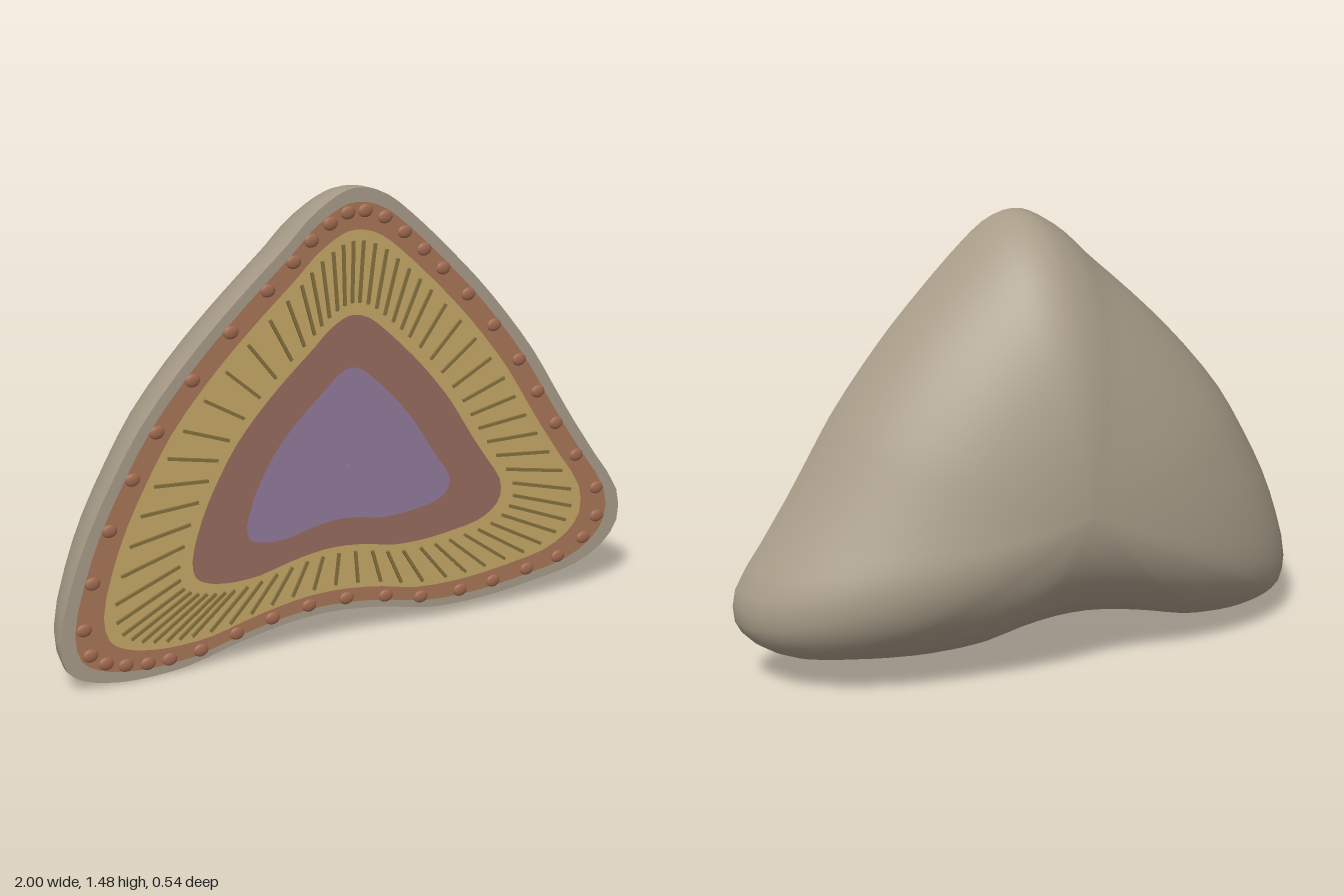
import * as THREE from 'three';

const CX = -0.019, CY = 0.587;      // centre of the slice
const FRONT = 0.26, DEPTH = 0.53;   // front plane and dome depth
const SEGMENTS = 84, BEADS = 42, GROOVES = 64;

const paint = (name, color) => {
  const m = new THREE.MeshStandardMaterial({ color });
  m.name = name;
  return m;
};

// Rounded triangular outline, clockwise from the top, relative to the centre
const OUTLINE = [
  0.06, 0.89, 0.135, 0.86, 0.21, 0.80, 0.285, 0.73, 0.36, 0.655, 0.46, 0.55, 0.565, 0.425,
  0.67, 0.285, 0.75, 0.155, 0.83, 0.025, 0.92, -0.11, 1.01, -0.25, 1.015, -0.36, 0.96, -0.435,
  0.855, -0.49, 0.725, -0.515, 0.585, -0.535, 0.45, -0.545, 0.29, -0.54, 0.15, -0.51,
  -0.005, -0.49, -0.15, -0.49, -0.29, -0.51, -0.425, -0.54, -0.56, -0.575, -0.675, -0.585,
  -0.755, -0.585, -0.835, -0.575, -0.905, -0.555, -0.96, -0.515, -0.98, -0.42, -0.945, -0.26,
  -0.88, -0.085, -0.795, 0.08, -0.705, 0.23, -0.575, 0.39, -0.435, 0.535, -0.30, 0.66,
  -0.205, 0.745, -0.14, 0.81, -0.07, 0.86, -0.005, 0.89,
];
const points = [];
for (let i = 0; i < OUTLINE.length; i += 2) points.push(new THREE.Vector3(OUTLINE[i], OUTLINE[i + 1], 0));
const curve = new THREE.CatmullRomCurve3(points, true);

// Point on the outline shrunk by k towards the centre
const at = (t, k, z) => {
  const p = curve.getPoint(t % 1);
  return new THREE.Vector3(CX + p.x * k, CY + p.y * k, z);
};

// Skin through scaled copies of the outline; stations are [scale, z]
function loft(stations) {
  const pos = [], index = [];
  stations.forEach(([k, z], s) => {
    for (let j = 0; j < SEGMENTS; j++) {
      pos.push(...at(j / SEGMENTS, k, z).toArray());
      if (s === 0) continue;
      const j2 = (j + 1) % SEGMENTS;
      const a = (s - 1) * SEGMENTS + j, b = (s - 1) * SEGMENTS + j2;
      const c = s * SEGMENTS + j, d = s * SEGMENTS + j2;
      index.push(a, c, b, b, c, d);
    }
  });
  const g = new THREE.BufferGeometry();
  g.setAttribute('position', new THREE.Float32BufferAttribute(pos, 3));
  g.setIndex(index);
  g.computeVertexNormals();
  return g;
}

export function createModel() {
  const model = new THREE.Group();
  model.name = 'layeredSlice';
  const shell = paint('stone grey', 0xa99d89);
  const rust = paint('rust brown', 0xa87657);
  const yellow = paint('ochre yellow', 0xc6a968);
  const maroon = paint('dusty maroon', 0x986c60);
  const purple = paint('muted purple', 0x927c9e);
  const beadPaint = paint('bead brown', 0xa06a50);
  const groovePaint = paint('dark olive', 0x85713f);

  const add = (name, geometry, material, parent = model) => {
    const mesh = new THREE.Mesh(geometry, material);
    mesh.name = name;
    parent.add(mesh);
    return mesh;
  };

  // Elliptical dome at the back, from its apex to the rim
  const dome = [];
  for (let i = 0; i <= 24; i++) {
    const a = Math.max(i / 24, 0.001) * Math.PI / 2;
    dome.push([Math.sin(a), FRONT - DEPTH * Math.cos(a)]);
  }
  add('domeShell', loft(dome), shell);

  // Flat concentric layers on the cut face
  const layers = [
    ['shellRim', 1, 0.95, shell],
    ['outerBand', 0.95, 0.853, rust],
    ['middleBand', 0.853, 0.55, yellow],
    ['innerBand', 0.55, 0.36, maroon],
    ['core', 0.36, 0.0005, purple],
  ];
  for (const [name, outer, inner, material] of layers) {
    add(name, loft([[outer, FRONT], [inner, FRONT]]), material);
  }

  // Flattened beads around the outer band
  const beads = new THREE.Group();
  beads.name = 'beads';
  model.add(beads);
  const beadGeometry = new THREE.SphereGeometry(1, 16, 12).scale(0.025, 0.021, 0.009);
  for (let i = 0; i < BEADS; i++) {
    add('bead', beadGeometry, beadPaint, beads).position.copy(at(i / BEADS, 0.92, FRONT + 0.001));
  }

  // Thin radial ribs on the middle band
  const ribs = new THREE.Group();
  ribs.name = 'radialRibs';
  model.add(ribs);
  for (let i = 0; i < GROOVES; i++) {
    const a = at(i / GROOVES, 0.595, FRONT + 0.003), b = at(i / GROOVES, 0.815, FRONT + 0.003);
    const rib = add('rib', new THREE.BoxGeometry(a.distanceTo(b), 0.01, 0.008), groovePaint, ribs);
    rib.position.copy(a).lerp(b, 0.5);
    rib.rotation.z = Math.atan2(b.y - a.y, b.x - a.x);
  }
  return model;
}
